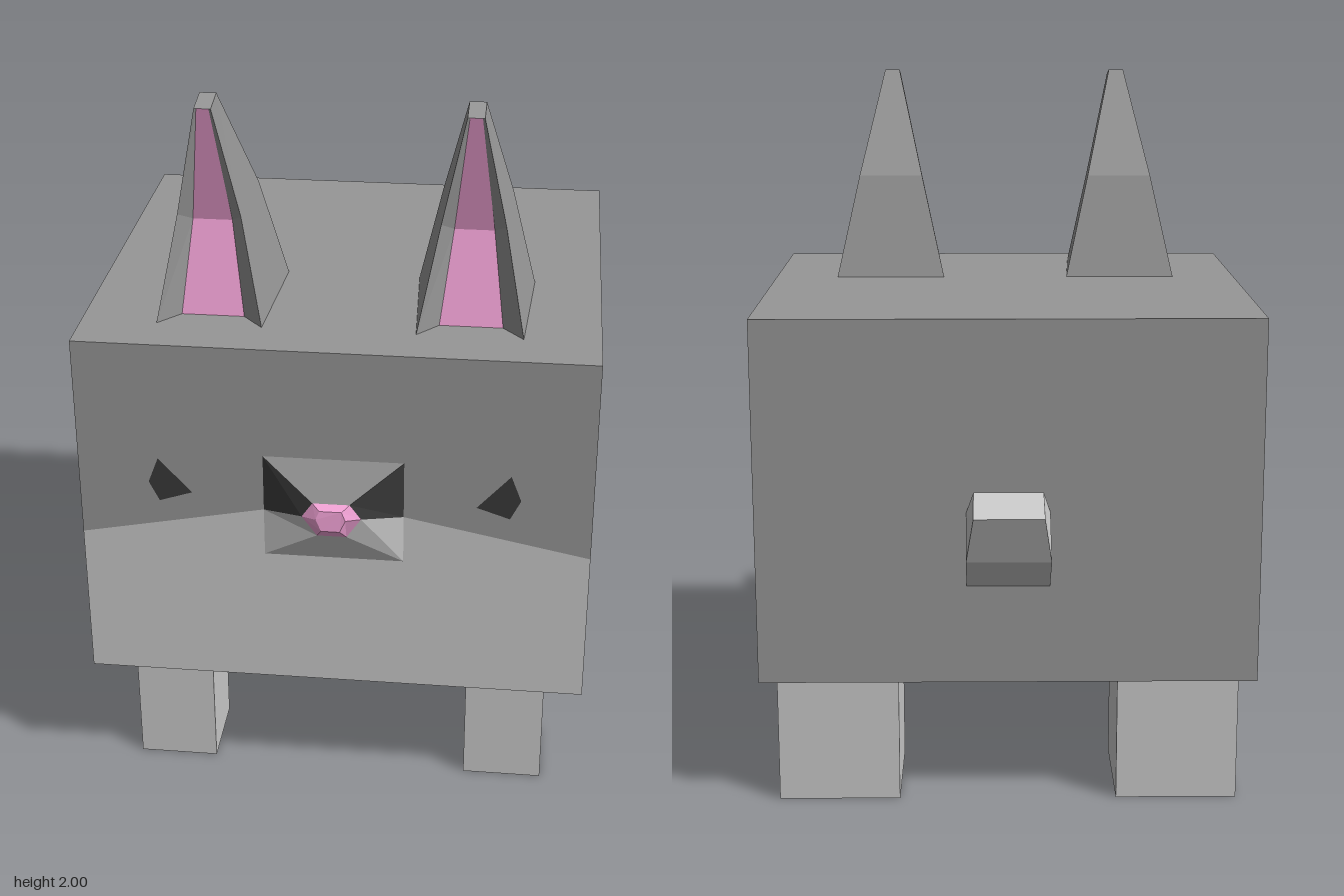
import * as THREE from 'three';

const material = (color) =>
  new THREE.MeshStandardMaterial({ color, flatShading: true });
const FUR = material(0x979797);
const LIGHT = material(0xcccccc);
const DARK = material(0x3a3a3a);
const PINK = material(0xfaa8dd);

// Mesh from a list of convex polygons, corners counter-clockwise from outside.
function faces(name, mat, polygons) {
  const positions = [];
  for (const p of polygons) {
    for (let i = 1; i < p.length - 1; i++) positions.push(...p[0], ...p[i], ...p[i + 1]);
  }
  const geometry = new THREE.BufferGeometry();
  geometry.setAttribute('position', new THREE.Float32BufferAttribute(positions, 3));
  geometry.computeVertexNormals();
  const mesh = new THREE.Mesh(geometry, mat);
  mesh.name = name;
  return mesh;
}

// Quads joining two rings of equal length; index i is the side after corner i.
const band = (a, b) => a.map((p, i) => {
  const j = (i + 1) % a.length;
  return [p, a[j], b[j], b[i]];
});

function box(name, mat, [x0, x1], [y0, y1], [z0, z1]) {
  const mesh = new THREE.Mesh(new THREE.BoxGeometry(x1 - x0, y1 - y0, z1 - z0), mat);
  mesh.position.set((x0 + x1) / 2, (y0 + y1) / 2, (z0 + z1) / 2);
  mesh.name = name;
  return mesh;
}

// Box body: dark fur above and a light belly below a wavy border.
function createBody() {
  const body = new THREE.Group();
  body.name = 'body';
  const W = 0.695, BOTTOM = 0.365, TOP = 1.39, FRONT = 0.685, BACK = -0.565, SPLIT = -0.19;
  const border = [
    [-W, 0.81, FRONT], [-0.19, 0.91, FRONT], [0.19, 0.91, FRONT], [W, 0.81, FRONT],
    [W, 0.46, 0.29], [W, BOTTOM, SPLIT], [W, BOTTOM, BACK],
    [-W, BOTTOM, BACK], [-W, BOTTOM, SPLIT], [-W, 0.46, 0.29],
  ];
  const at = (y) => border.map(([x, , z]) => [x, y, z]);
  const under = (z0, z1) => [[-W, BOTTOM, z0], [W, BOTTOM, z0], [W, BOTTOM, z1], [-W, BOTTOM, z1]];
  const flat = ([a, b]) => a[1] === BOTTOM && b[1] === BOTTOM;
  body.add(
    faces('upperFur', FUR, [...band(border, at(TOP)), at(TOP), under(BACK, SPLIT)]),
    faces('belly', LIGHT, [
      ...band(at(BOTTOM), border).filter(([, , c, d]) => !flat([c, d])),
      under(SPLIT, FRONT),
    ]),
  );
  return body;
}

// Six-sided muzzle tapering to a small pink nose.
function createMuzzle() {
  const muzzle = new THREE.Group();
  muzzle.name = 'muzzle';
  // Each row is half width, y, z from top to bottom.
  const ring = (rows) => [
    ...[rows[0]],
    ...rows.map(([x, y, z]) => [-x, y, z]),
    ...rows.slice(1).reverse(),
  ];
  const base = ring([[0.19, 1.075, 0.685], [0.19, 0.91, 0.685], [0.19, 0.77, 0.685]]);
  const rim = ring([[0.05, 0.97, 0.74], [0.08, 0.925, 0.735], [0.04, 0.865, 0.73]]);
  const tip = ring([[0.03, 0.955, 0.755], [0.04, 0.93, 0.757], [0.025, 0.895, 0.757]]);
  const side = band(base, rim);
  muzzle.add(
    faces('bridge', FUR, [side[0]]),
    faces('cheekPatches', DARK, [side[1], side[5]]),
    faces('chin', LIGHT, side.slice(2, 5)),
    faces('nose', PINK, [...band(rim, tip), tip]),
  );
  return muzzle;
}

// Curved ear with a pink channel recessed between two front rims.
function createEar(name, centre) {
  const ear = new THREE.Group();
  ear.name = name;
  const ring = (rim, pink, back) => {
    const [rx, ry, rz] = rim, [px, py, pz] = pink, [bx, by, bz] = back;
    return [[-rx, ry, rz], [-px, py, pz], [px, py, pz], [rx, ry, rz], [bx, by, bz], [-bx, by, bz]];
  };
  const rings = [
    ring([0.142, 1.39, 0.55], [0.085, 1.39, 0.485], [0.162, 1.39, 0.17]),
    ring([0.085, 1.68, 0.49], [0.053, 1.65, 0.44], [0.095, 1.69, 0.25]),
    ring([0.022, 1.985, 0.527], [0.016, 1.985, 0.525], [0.022, 2, 0.44]),
  ];
  const sides = [...band(rings[0], rings[1]), ...band(rings[1], rings[2])];
  const isInner = (_, i) => i % 6 === 1;
  ear.add(
    faces('outerEar', FUR, [...sides.filter((q, i) => !isInner(q, i)), rings[2]]),
    faces('innerEar', PINK, sides.filter(isInner)),
  );
  ear.position.x = centre;
  return ear;
}

// Short tail bending upward from the back.
function createTail() {
  const ring = (half, [y0, z0], [y1, z1]) => [
    [-half, y0, z0], [-half, y1, z1], [half, y1, z1], [half, y0, z0],
  ];
  const base = ring(0.115, [0.645, -0.565], [0.8, -0.5]);
  const middle = ring(0.115, [0.755, -0.7], [0.855, -0.565]);
  const end = ring(0.095, [0.89, -0.755], [0.925, -0.615]);
  return faces('tail', LIGHT, [...band(base, middle), ...band(middle, end), end]);
}

// Flat four-cornered eye, mirrored by side.
function createEye(name, side) {
  const corners = [[0.385, 0.953], [0.475, 0.923], [0.503, 0.98], [0.475, 1.053]]
    .map(([x, y]) => [side * x, y, 0.688]);
  return faces(name, DARK, [side > 0 ? corners : corners.reverse()]);
}

export function createModel() {
  const model = new THREE.Group();
  model.name = 'animal';
  model.add(createBody(), createMuzzle(), createTail());
  for (const [label, side] of [['left', 1], ['right', -1]]) {
    const span = (a, b) => (side > 0 ? [a, b] : [-b, -a]);
    model.add(
      createEar(label + 'Ear', side * 0.348),
      createEye(label + 'Eye', side),
      box(label + 'FrontLeg', LIGHT, span(0.367, 0.59), [0, 0.365], [0.37, 0.595]),
      box(label + 'BackLeg', LIGHT, span(0.307, 0.648), [0, 0.365], [-0.525, -0.19]),
    );
  }
  return model;
}
